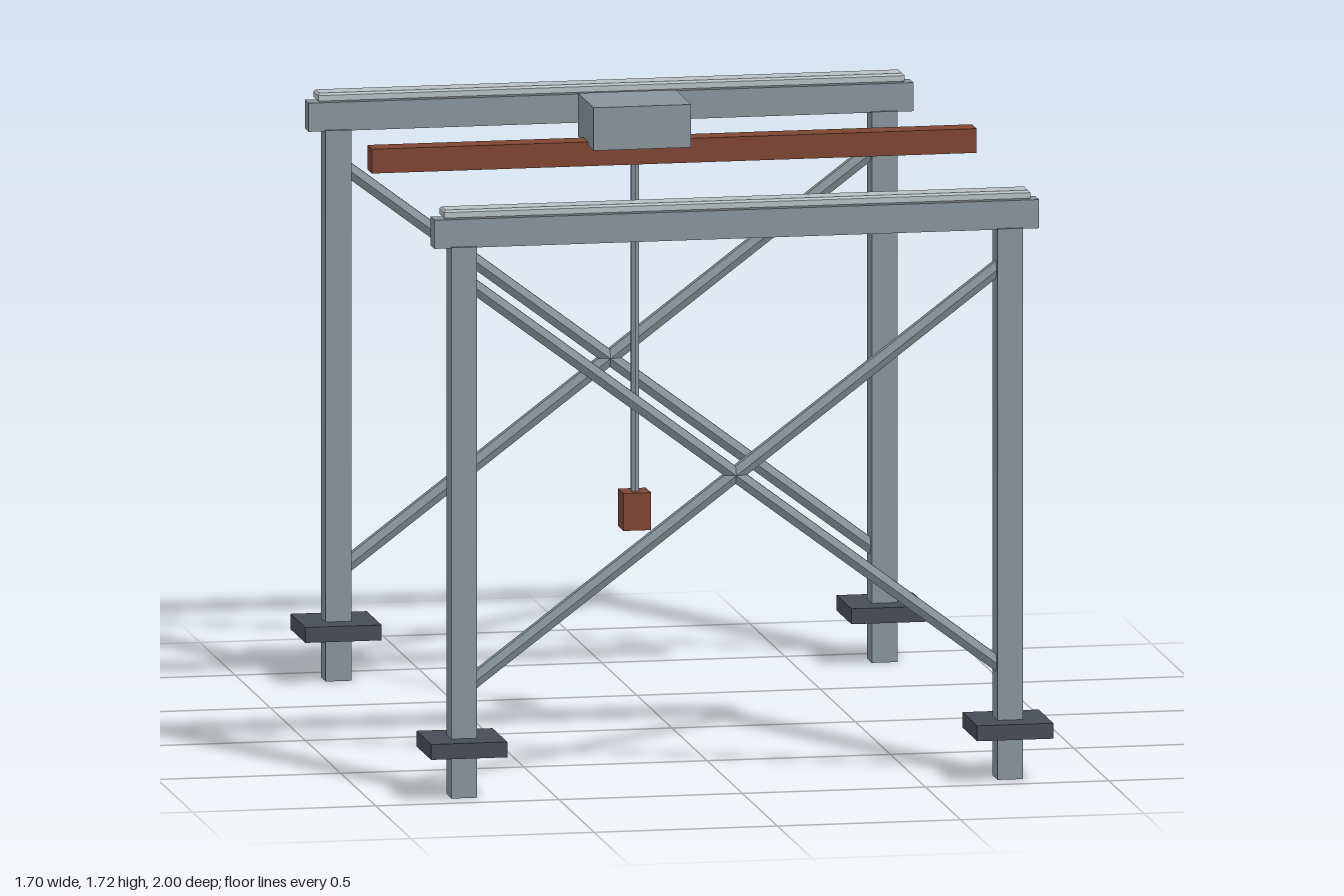
import * as THREE from 'three';

const mat = (name, color) => {
  const m = new THREE.MeshStandardMaterial({ color });
  m.name = name;
  return m;
};

export function createModel() {
  const steel = mat('steel grey', 0x87939b);
  const pale = mat('pale rail grey', 0xb6bfc2);
  const dark = mat('dark slate', 0x484c57);
  const rust = mat('rust brown', 0x7e4631);

  const model = new THREE.Group();
  model.name = 'gantryCrane';

  const add = (parent, name, geometry, material, x, y, z) => {
    const mesh = new THREE.Mesh(geometry, material);
    mesh.name = name;
    mesh.position.set(x, y, z);
    parent.add(mesh);
    return mesh;
  };
  const box = (w, h, d) => new THREE.BoxGeometry(w, h, d);

  // faceted bar with creased edges
  const bar = (radius, length) =>
    new THREE.CylinderGeometry(radius, radius, length, 6).toNonIndexed();
  const flat = (geometry) => { geometry.computeVertexNormals(); return geometry; };

  // rail with small chamfers on its long and short edges
  const c = 0.006, rw = 0.8 - c, rd = 0.034 - c;
  const railShape = new THREE.Shape([
    new THREE.Vector2(-rw, -rd), new THREE.Vector2(rw, -rd),
    new THREE.Vector2(rw, rd), new THREE.Vector2(-rw, rd),
  ]);
  const railGeometry = new THREE.ExtrudeGeometry(railShape, {
    depth: 0.027 - 2 * c, bevelEnabled: true, bevelSize: c, bevelThickness: c, bevelSegments: 1,
  });
  railGeometry.rotateX(-Math.PI / 2);

  // two side frames: posts, foot plates, top beam, rail and cross braces
  for (const side of [1, -1]) {
    const frame = new THREE.Group();
    frame.name = side > 0 ? 'frontFrame' : 'backFrame';
    frame.position.z = side * 0.895;
    model.add(frame);

    for (const s of [-1, 1]) {
      add(frame, 'post', box(0.07, 1.5, 0.07), steel, s * 0.745, 0.75, 0);
      add(frame, 'footPlate', box(0.208, 0.042, 0.21), dark, s * 0.745, 0.141, 0);
      const brace = add(frame, 'crossBrace', flat(bar(0.022, 1.82)), steel, 0, 0.85, 0);
      brace.rotation.z = -s * Math.atan2(1.42, 1.07);
    }
    add(frame, 'topBeam', box(1.65, 0.078, 0.054), steel, 0, 1.536, 0);
    add(frame, 'rail', railGeometry, pale, 0, 1.575 + c, 0);
  }

  // bridge girder with trolley, hoist rope and load
  add(model, 'bridgeGirder', box(1.65, 0.066, 0.066), rust, 0, 1.577, 0);
  add(model, 'trolley', box(0.266, 0.117, 0.224), steel, -0.102, 1.6585, 0);
  add(model, 'hoistRope', flat(bar(0.012, 0.97)), steel, -0.102, 1.125, 0);
  add(model, 'load', box(0.076, 0.102, 0.076), rust, -0.102, 0.599, 0);

  return model;
}
